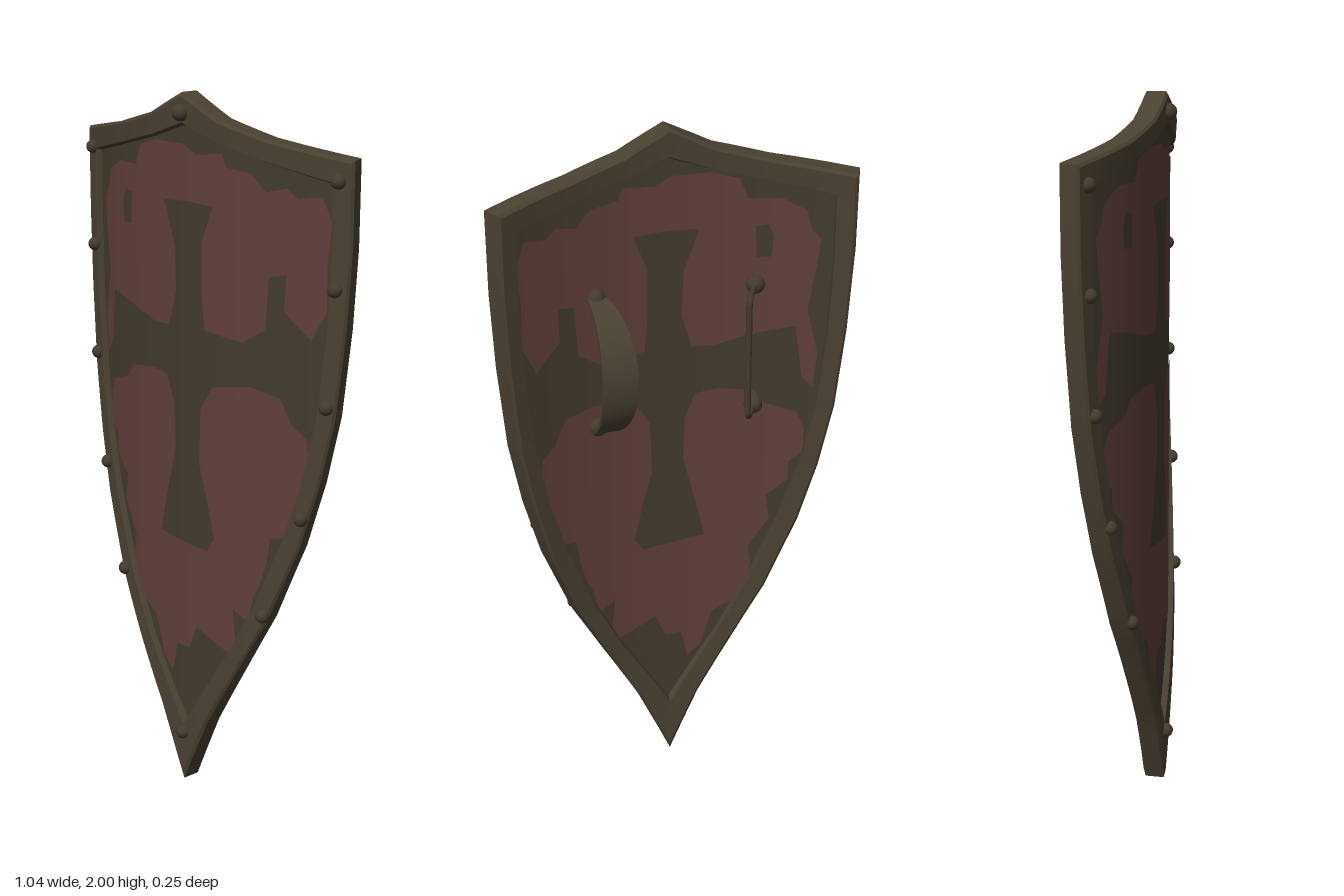
import * as THREE from 'three';
import { toCreasedNormals } from 'three/addons/utils/BufferGeometryUtils.js';

// Right half of the rim, peak to tip: outer x, y, inner x, y
const RIM = [
  [0, 2, 0, 1.91], [0.13, 1.935, 0.12, 1.87], [0.28, 1.895, 0.26, 1.835], [0.508, 1.855, 0.45, 1.79],
  [0.506, 1.62, 0.45, 1.6], [0.494, 1.4, 0.44, 1.38], [0.47, 1.16, 0.415, 1.15], [0.432, 0.97, 0.375, 0.96],
  [0.38, 0.785, 0.325, 0.8], [0.29, 0.56, 0.24, 0.59], [0.197, 0.39, 0.15, 0.42], [0.09, 0.2, 0.06, 0.28], [0, 0, 0, 0.19],
];

// Worn paint outlines, in hundredths of a unit
const UPPER_PAINT = [
  -41, 121, -38, 124, -36, 140, -25, 138, -13.5, 135, -7, 135, -4, 145, -4.5, 158, -9, 170, 0, 170.5, 10, 170,
  6, 160, 6, 145, 7, 135.5, 20, 134, 27, 138.5, 28, 153, 33, 154, 32.5, 144, 40, 137, 44, 145, 44, 158, 45, 169,
  42.5, 175.5, 36, 174.5, 33, 177, 27, 175.5, 22.5, 180, 14.5, 181, 13, 184.5, 4, 183.5, -1, 186, -12, 186,
  -20, 184, -22.5, 178, -31.5, 178, -38, 174.5, -39.5, 169, -42, 166, -41, 158, -39, 145, -42, 131.5,
];
const LOWER_PAINT = [
  -39, 108, -37, 113, -28, 116, -25, 120, -14.5, 121.5, -8, 120.5, -5, 113, -4.5, 100, -8, 86.5, -11, 74, -4, 73,
  0, 72.5, 8, 72, 10.5, 76, 8, 86.5, 5, 97, 5.5, 113, 10, 120, 22.5, 122, 31.5, 120, 35, 113, 39, 110, 40, 100,
  37, 89, 35, 81, 29, 80, 28, 73, 26, 66, 24, 62, 22, 54, 17, 57, 18, 48, 16, 43, 11, 45, 4, 48, 1, 41, -4, 41,
  -6, 32, -10, 36, -13.5, 47, -17, 49, -23, 52, -25, 62.5, -24, 69, -30, 78, -29, 86, -35, 91, -35, 97, -39, 100,
];
const WORN_PATCH = [-29, 161, -25, 161, -24.5, 170, -28, 170.5, -29.5, 167];

// Curved shield surface: normal at x, and a point offset by t along it
const CURVE = 0.46;
const normalAt = (x) => new THREE.Vector3(2 * CURVE * x, 0, 1).normalize();
const onShield = (x, y, t) => new THREE.Vector3(x, y, 0.072 - CURVE * x * x).addScaledVector(normalAt(x), t);

const toPoints = (list) => {
  const pts = [];
  for (let i = 0; i < list.length; i += 2) pts.push(new THREE.Vector2(list[i] / 100, list[i + 1] / 100));
  return pts;
};

// Keep the part of a polygon on one side of a vertical line
function clip(poly, x, side) {
  const out = [];
  poly.forEach((a, i) => {
    const b = poly[(i + 1) % poly.length];
    const da = side * (a.x - x), db = side * (b.x - x);
    if (da >= 0) out.push(a);
    if ((da > 0 && db < 0) || (da < 0 && db > 0)) out.push(a.clone().lerp(b, da / (da - db)));
  });
  return out;
}

// Flat outline cut into narrow strips and bent onto the shield; negative t faces the back
function bentPlate(pts, t) {
  const pos = [], nor = [], step = 0.05, dir = Math.sign(t);
  for (const tri of THREE.ShapeUtils.triangulateShape(pts, [])) {
    const corners = tri.map((i) => pts[i]);
    const flip = THREE.ShapeUtils.area(corners) * dir < 0;
    for (let x = -0.55; x < 0.55; x += step) {
      const piece = clip(clip(corners, x, 1), x + step, -1);
      if (flip) piece.reverse();
      for (let i = 1; i < piece.length - 1; i++) {
        for (const p of [piece[0], piece[i], piece[i + 1]]) {
          pos.push(...onShield(p.x, p.y, t).toArray());
          nor.push(...normalAt(p.x).multiplyScalar(dir).toArray());
        }
      }
    }
  }
  const g = new THREE.BufferGeometry();
  g.setAttribute('position', new THREE.Float32BufferAttribute(pos, 3));
  g.setAttribute('normal', new THREE.Float32BufferAttribute(nor, 3));
  return g;
}

// Skin a row of closed cross-sections; closed joins last to first, otherwise ends are capped
function skin(rings, closed) {
  const n = rings[0].length, index = [];
  const pos = rings.flat().flatMap((p) => p.toArray());
  for (let i = 0; i < rings.length - (closed ? 0 : 1); i++) {
    const a = i * n, b = ((i + 1) % rings.length) * n;
    for (let j = 0; j < n; j++) {
      const k = (j + 1) % n;
      index.push(a + j, b + j, a + k, b + j, b + k, a + k);
    }
  }
  if (!closed) {
    const e = (rings.length - 1) * n;
    for (let j = 1; j < n - 1; j++) index.push(0, j, j + 1, e, e + j + 1, e + j);
  }
  const g = new THREE.BufferGeometry();
  g.setAttribute('position', new THREE.Float32BufferAttribute(pos, 3));
  g.setIndex(index);
  return toCreasedNormals(g, 0.5);
}

export function createModel() {
  const model = new THREE.Group();
  const material = (name, color) => new THREE.MeshStandardMaterial({ name, color });
  const rimBrown = material('rimBrown', 0x4a4131);
  const fieldBrown = material('fieldBrown', 0x433b2d);
  const paintRed = material('paintRed', 0x613f3b);
  const metalBrown = material('metalBrown', 0x443b2e);
  const add = (name, geometry, mat, parent = model) => {
    const mesh = new THREE.Mesh(geometry, mat);
    mesh.name = name;
    parent.add(mesh);
    return mesh;
  };

  // Rim: bevelled section carried clockwise round the outline
  const mirrored = RIM.slice(1, -1).reverse().map(([a, b, c, d]) => [-a, b, -c, d]);
  const outline = [...RIM, ...mirrored];
  const section = [[0, -0.027], [0, 0.027], [0.12, 0.033], [0.9, 0.03], [1, 0.01], [1, -0.01], [0.9, -0.03], [0.12, -0.033]];
  const rings = [];
  outline.forEach((a, i) => {
    const b = outline[(i + 1) % outline.length];
    for (let s = 0; s < 3; s++) {
      const [ox, oy, ix, iy] = a.map((v, k) => v + (b[k] - v) * s / 3);
      rings.push(section.map(([u, t]) => onShield(ox + (ix - ox) * u, oy + (iy - oy) * u, t)));
    }
  });
  add('rim', skin(rings, true), rimBrown);

  // Panel and worn paint, front and back
  const panelPts = outline.map(([a, b, c, d]) => new THREE.Vector2((a + c) / 2, (b + d) / 2));
  for (const [side, s] of [['front', 1], ['back', -1]]) {
    add(side + 'Panel', bentPlate(panelPts, s * 0.013), fieldBrown);
    add(side + 'UpperPaint', bentPlate(toPoints(UPPER_PAINT), s * 0.015), paintRed);
    add(side + 'LowerPaint', bentPlate(toPoints(LOWER_PAINT), s * 0.015), paintRed);
    add(side + 'WornPatch', bentPlate(toPoints(WORN_PATCH), s * 0.017), fieldBrown);
  }

  // Rivets on the rim
  const rivets = new THREE.Group();
  rivets.name = 'rivets';
  model.add(rivets);
  const rivet = (x, y, r) => {
    const mesh = add('rivet', new THREE.SphereGeometry(r, 14, 10), metalBrown, rivets);
    mesh.position.copy(onShield(x, y, 0.033));
  };
  rivet(0, 1.945, 0.024);
  rivet(0, 0.15, 0.021);
  for (const [x, y] of [[0.47, 1.8], [0.465, 1.515], [0.448, 1.195], [0.385, 0.875], [0.278, 0.575]]) {
    rivet(x, y, 0.02);
    rivet(-x, y, 0.02);
  }

  // Arm strap: arched band, wider in the middle
  const strapRings = [];
  for (let i = 0; i <= 24; i++) {
    const a = Math.PI * i / 24, bulge = Math.sin(a);
    const w = 0.024 + 0.026 * bulge, x = 0.215 - 0.027 * bulge;
    const at = (dx, r) => new THREE.Vector3(x + dx, 1.35 + Math.cos(a) * (0.195 + r), 0.035 - bulge * (0.152 + r));
    strapRings.push([at(-w, -0.006), at(w, -0.006), at(w, 0.006), at(-w, 0.006)]);
  }
  add('armStrap', skin(strapRings, false), rimBrown).material.side = THREE.DoubleSide;

  // Hand grip: thin bent rod
  const grip = new THREE.CurvePath();
  const rod = [[-0.25, 1.53, 0.04], [-0.205, 1.53, -0.045], [-0.196, 1.512, -0.06], [-0.196, 1.178, -0.06],
    [-0.205, 1.16, -0.045], [-0.25, 1.16, 0.04]].map((p) => new THREE.Vector3(...p));
  for (let i = 0; i < rod.length - 1; i++) grip.add(new THREE.LineCurve3(rod[i], rod[i + 1]));
  add('handGrip', new THREE.TubeGeometry(grip, 80, 0.009, 8), metalBrown);

  // Knobs fixing strap and grip to the back
  for (const [x, ys] of [[0.215, [1.545, 1.155]], [-0.247, [1.53, 1.16]]]) {
    for (const y of ys) {
      const knob = add('handleKnob', new THREE.SphereGeometry(0.027, 14, 10), metalBrown);
      knob.position.copy(onShield(x, y, -0.018));
    }
  }
  return model;
}
